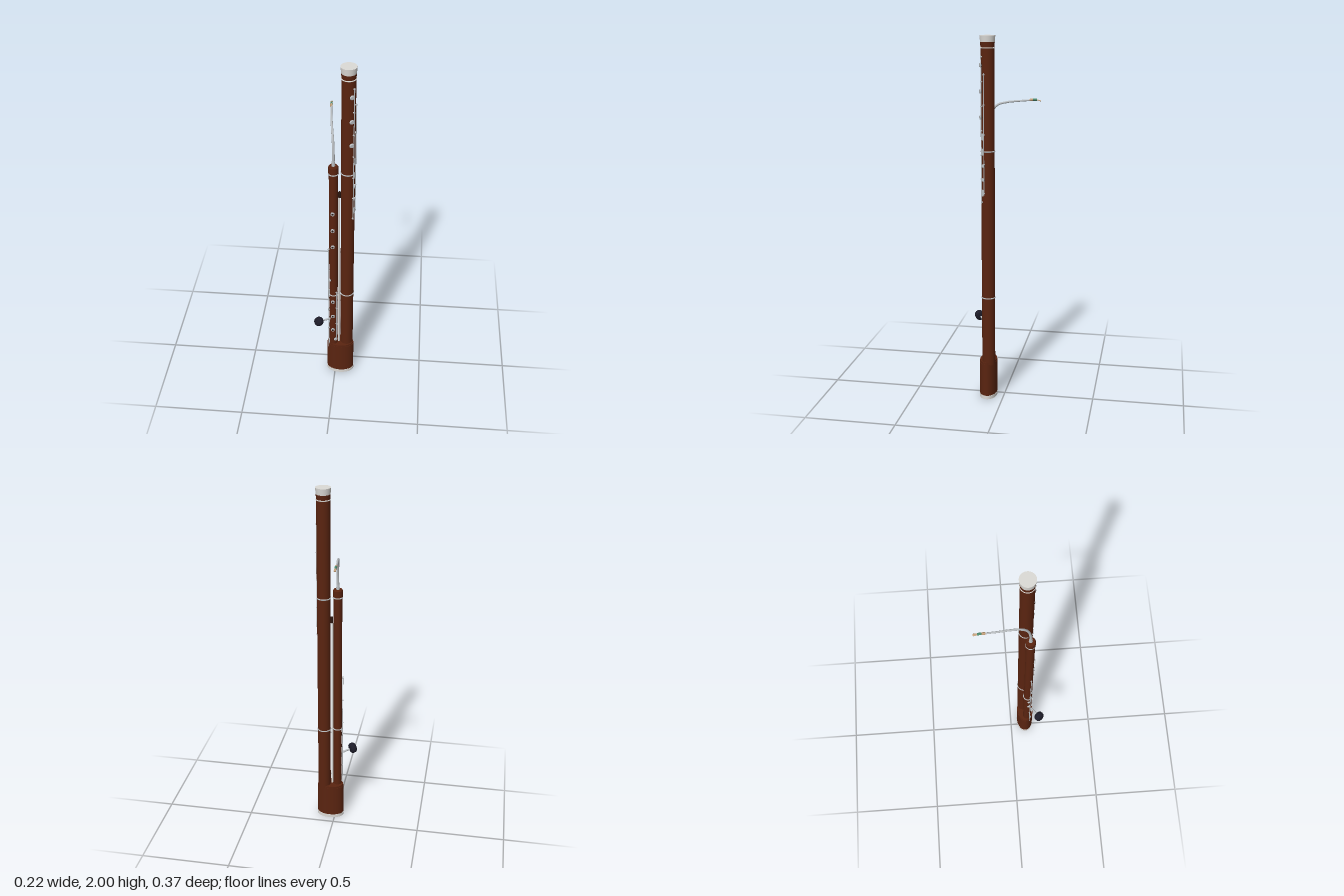
import * as THREE from 'three';

const mat = (name, color) => Object.assign(new THREE.MeshStandardMaterial({ color }), { name });

export function createModel() {
  const wood = mat('red brown wood', 0x5a2410);
  const silver = mat('silver', 0xb9bdc0);
  const ivory = mat('ivory white', 0xdcdad6);
  const dark = mat('dark pad', 0x2b1710);
  const black = mat('black grip', 0x1e1d2a);
  const cane = mat('cane', 0xc6a27c);
  const green = mat('green thread', 0x4c8a6e);

  const root = new THREE.Group();
  const V = (x, y, z) => new THREE.Vector3(x, y, z);
  const UP = V(0, 1, 0);
  const add = (name, geo, material, parent = root) => {
    const m = new THREE.Mesh(geo, material);
    m.name = name;
    parent.add(m);
    return m;
  };
  // upright cylinder between two heights
  const column = (name, x, z, y0, y1, r0, r1, material, sides = 32) => {
    const m = add(name, new THREE.CylinderGeometry(r1, r0, y1 - y0, sides), material);
    m.position.set(x, (y0 + y1) / 2, z);
    return m;
  };
  // cylinder between two points
  const rod = (name, a, b, r0, r1, material, sides = 10) => {
    const m = add(name, new THREE.CylinderGeometry(r1, r0, a.distanceTo(b), sides), material);
    m.position.copy(a).lerp(b, 0.5);
    m.quaternion.setFromUnitVectors(UP, b.clone().sub(a).normalize());
    return m;
  };
  const ring = (name, x, z, y, r, tube, material) => {
    const m = add(name, new THREE.TorusGeometry(r, tube, 8, 32), material);
    m.rotation.x = Math.PI / 2;
    m.position.set(x, y, z);
    return m;
  };

  const long = { x: 0.064, z: 0.08, r: 0.036 };
  const wing = { x: -0.01, z: 0.098, r: 0.0235 };
  // point off a tube's axis; angle runs from the front (+z) towards +x
  const around = (t, deg, y, dist) => {
    const a = THREE.MathUtils.degToRad(deg);
    return V(t.x + Math.sin(a) * dist, y, t.z + Math.cos(a) * dist);
  };

  // oval boot with its metal end cap
  const boot = (name, y0, y1, k, material) => {
    const m = column(name, 0.029, 0.088, y0, y1, 1, 1, material, 48);
    m.scale.set(0.075 * k, 1, 0.047 * k);
  };
  boot('bootCap', 0, 0.02, 1.04, ivory);
  boot('bootJoint', 0.02, 0.205, 1.02, wood);
  boot('bootRim', 0.205, 0.216, 0.98, wood);

  // long joint and bell
  column('longJoint', long.x, long.z, 0.2, 1.94, long.r, long.r, wood);
  column('bellNeck', long.x, long.z, 1.94, 1.966, 0.036, 0.038, wood);
  column('bellRim', long.x, long.z, 1.966, 2, 0.038, 0.041, ivory);
  ring('bellRing', long.x, long.z, 1.937, long.r, 0.003, ivory);

  // wing joint
  column('wingJoint', wing.x, wing.z, 0.2, 1.405, wing.r, wing.r, wood);
  column('wingCollar', wing.x, wing.z, 1.405, 1.44, 0.026, 0.026, wood);
  column('wingCollarTop', wing.x, wing.z, 1.44, 1.447, 0.026, 0.022, wood);
  for (const y of [0.59, 1.4]) {
    ring('longJointRing', long.x, long.z, y, long.r, 0.0035, silver);
    ring('wingJointRing', wing.x, wing.z, y, wing.r + 0.001, 0.0035, silver);
  }

  // rod held in the gap between the two joints
  column('centreRod', 0.02, 0.093, 0.21, 1.25, 0.0055, 0.0055, ivory, 10);
  column('centreRodStop', 0.022, 0.095, 1.25, 1.285, 0.007, 0.007, dark, 12);

  // curved crook
  const path = new THREE.CatmullRomCurve3([
    V(-0.01, 1.445, 0.098), V(-0.01, 1.53, 0.094), V(-0.014, 1.595, 0.077),
    V(-0.021, 1.635, 0.043), V(-0.028, 1.65, -0.01), V(-0.035, 1.656, -0.07),
    V(-0.04, 1.661, -0.13),
  ]);
  const crook = new THREE.TubeGeometry(path, 40, 1, 12);
  const pos = crook.attributes.position;
  for (let i = 0; i < pos.count; i++) {
    // taper each ring of the tube towards the reed
    const u = Math.floor(i / 13) / 40;
    const c = path.getPointAt(u);
    const p = V(0, 0, 0).fromBufferAttribute(pos, i).sub(c).multiplyScalar(0.0075 - 0.003 * u).add(c);
    pos.setXYZ(i, p.x, p.y, p.z);
  }
  add('crook', crook, silver);
  column('crookSocket', wing.x, wing.z, 1.44, 1.475, 0.011, 0.008, silver, 16);

  // reed: bound cane flattening to a blade
  const reed = [V(-0.04, 1.661, -0.126), V(-0.041, 1.664, -0.144), V(-0.042, 1.663, -0.164), V(-0.0425, 1.657, -0.185)];
  rod('reedTube', reed[0], reed[1], 0.0065, 0.0065, cane, 14);
  rod('reedThread', reed[1], reed[2], 0.0068, 0.0055, green, 14);
  rod('reedBlade', reed[2], reed[3], 0.005, 0.0065, cane, 14).scale.z = 0.5;

  // hand rest on its arm
  const arm = V(-0.028, 0.412, 0.118), hold = V(-0.072, 0.422, 0.15), end = V(-0.106, 0.429, 0.174);
  rod('handRestArm', arm, hold, 0.0055, 0.0055, silver);
  const grip = new THREE.LatheGeometry(
    [[0, -0.018], [0.024, -0.018], [0.03, -0.009], [0.031, 0], [0.029, 0.01], [0.022, 0.018], [0, 0.018]]
      .map(([x, y]) => new THREE.Vector2(x, y)), 24);
  const g = add('handRest', grip, black);
  g.position.copy(hold).lerp(end, 0.5);
  g.quaternion.setFromUnitVectors(UP, end.clone().sub(hold).normalize());
  g.scale.z = 0.85;

  // ringed finger holes and covered key cups
  const hole = (t, deg, y, r) => {
    rod('fingerRing', around(t, deg, y, t.r - 0.004), around(t, deg, y, t.r + 0.006), r, r, silver, 16);
    rod('fingerHole', around(t, deg, y, t.r), around(t, deg, y, t.r + 0.0065), r * 0.55, r * 0.55, dark, 12);
  };
  const cup = (t, deg, y, r) => {
    rod('keyPad', around(t, deg, y, t.r - 0.003), around(t, deg, y, t.r + 0.003), r * 0.9, r * 0.9, dark, 16);
    rod('keyCup', around(t, deg, y, t.r + 0.002), around(t, deg, y, t.r + 0.008), r, r * 0.75, silver, 16);
  };
  for (const y of [1.16, 1.05, 0.94, 0.545, 0.435, 0.33]) hole(wing, -4, y, 0.0105);
  cup(wing, 32, 0.255, 0.012);
  cup(wing, -45, 0.7, 0.009);
  for (const y of [0.55, 0.47]) cup(wing, -78, y, 0.01);
  for (const y of [1.85, 1.715, 1.58]) cup(long, 30, y, 0.013);
  for (const y of [1.325, 1.25]) cup(long, 60, y, 0.01);

  // key rods standing on small posts
  const keyRod = (t, deg, y0, y1, r, posts) => {
    rod('keyRod', around(t, deg, y0, t.r + 0.006), around(t, deg, y1, t.r + 0.006), r, r, silver, 8);
    for (let i = 0; i < posts; i++) {
      const y = y0 + 0.008 + (y1 - y0 - 0.016) * i / (posts - 1);
      rod('keyPost', around(t, deg, y, t.r - 0.003), around(t, deg, y, t.r + 0.009), 0.004, 0.004, silver, 8);
    }
  };
  keyRod(long, 46, 1.12, 1.9, 0.0025, 7);
  keyRod(long, 70, 1.17, 1.81, 0.0025, 5);
  keyRod(wing, -64, 0.18, 0.92, 0.0025, 6);
  keyRod(wing, 40, 0.25, 0.62, 0.002, 4);

  // flat touch pieces beside the rods
  const touch = (t, deg, y, h) => {
    const m = add('keyTouch', new THREE.BoxGeometry(0.012, h, 0.003), silver);
    m.position.copy(around(t, deg, y, t.r + 0.006));
    m.rotation.y = THREE.MathUtils.degToRad(deg);
  };
  for (const y of [1.48, 1.4, 1.18]) touch(long, 58, y, 0.035);
  for (const y of [0.62, 0.4, 0.24]) touch(wing, -52, y, 0.03);

  return root;
}
